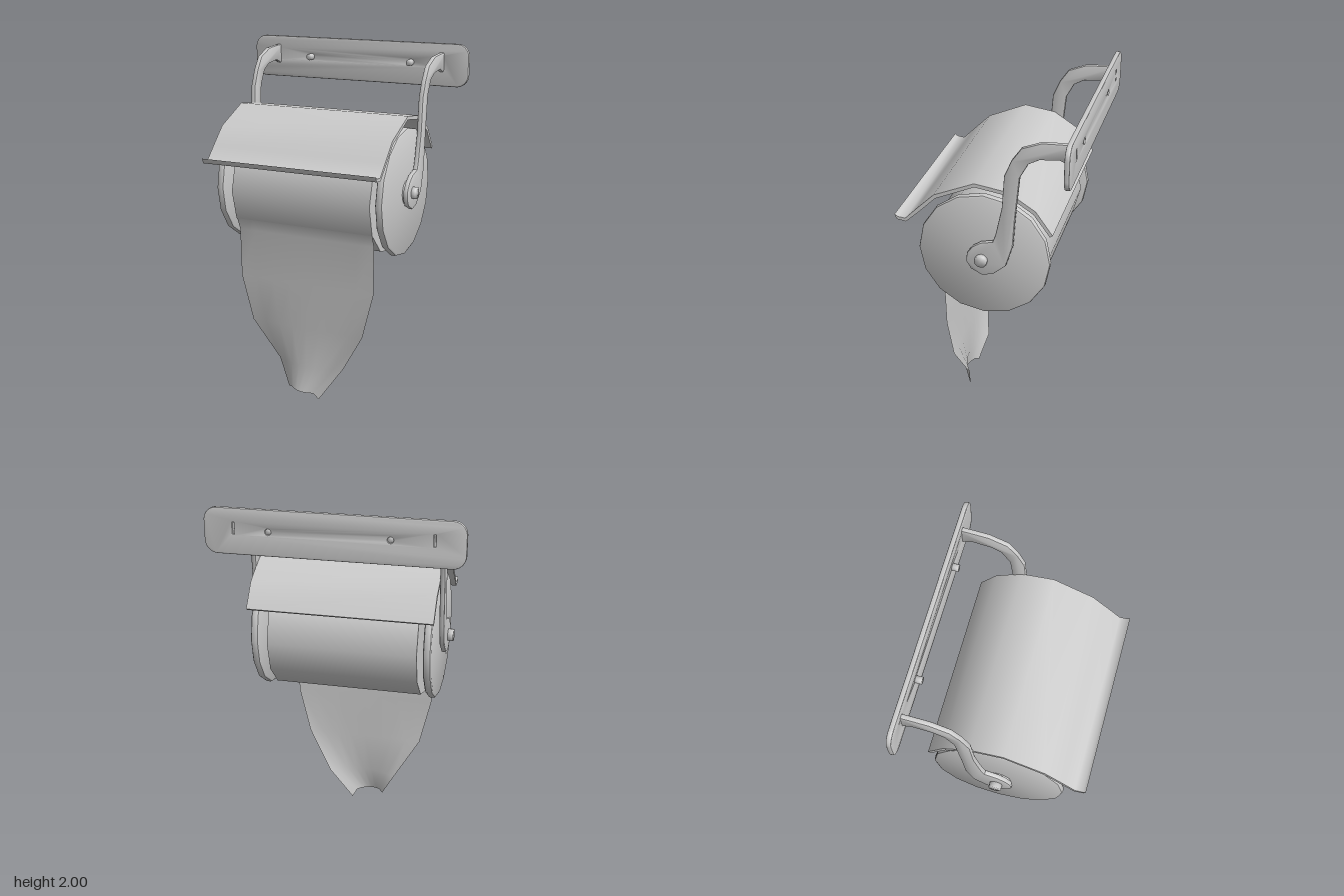
import * as THREE from 'three';
import { toCreasedNormals } from 'three/addons/utils/BufferGeometryUtils.js';

const AXIS_Y = 1.237; // height of the spindle
const ROLL_Y = 1.215; // the roll hangs a little lower on the spindle

export function createModel() {
  const model = new THREE.Group();
  const grey = new THREE.MeshStandardMaterial({ color: 0xcccccc });
  const thin = new THREE.MeshStandardMaterial({ color: 0xcccccc, side: THREE.DoubleSide });

  function add(name, geometry, material = grey) {
    const mesh = new THREE.Mesh(geometry, material);
    mesh.name = name;
    model.add(mesh);
  }

  // cylinder lying along x
  function axle(radius, x0, x1, y, sides) {
    const geo = new THREE.CylinderGeometry(radius, radius, x1 - x0, sides).rotateZ(Math.PI / 2);
    return geo.translate((x0 + x1) / 2, y, 0);
  }

  // side profile given as [z, y], extruded along x from x0 to x1
  function sideExtrude(profile, x0, x1, bevel, crease) {
    const shape = new THREE.Shape(profile.map(([z, y]) => new THREE.Vector2(-z, y)));
    const geo = new THREE.ExtrudeGeometry(shape, {
      depth: x1 - x0 - 2 * bevel, bevelEnabled: bevel > 0,
      bevelSize: bevel, bevelThickness: bevel, bevelOffset: -bevel, bevelSegments: 2,
    });
    geo.rotateY(Math.PI / 2).translate(x0 + bevel, 0, 0);
    return toCreasedNormals(geo, crease);
  }

  // wall plate with rounded corners, screw holes and slots for the arms
  const screwXs = [-0.30, 0.335];
  const w = 0.68, y0 = 1.757, y1 = 2.0, r = 0.07, b = 0.006;
  const plate = new THREE.Shape();
  plate.absarc(w - r, y0 + r, r, -Math.PI / 2, 0);
  plate.absarc(w - r, y1 - r, r, 0, Math.PI / 2);
  plate.absarc(-w + r, y1 - r, r, Math.PI / 2, Math.PI);
  plate.absarc(-w + r, y0 + r, r, Math.PI, Math.PI * 1.5);
  plate.closePath();
  for (const x of screwXs) {
    plate.holes.push(new THREE.Path().absarc(x, 1.885, 0.016, 0, Math.PI * 2, true));
  }
  for (const x of [-0.521, 0.521]) {
    plate.holes.push(new THREE.Path([[-1, 1.865], [-1, 1.925], [1, 1.925], [1, 1.865]]
      .map(([s, y]) => new THREE.Vector2(x + s * 0.005, y))));
  }
  const plateGeo = new THREE.ExtrudeGeometry(plate, {
    depth: 0.027 - 2 * b, bevelSize: b, bevelThickness: b, bevelOffset: -b,
    bevelSegments: 2, curveSegments: 6,
  });
  add('wallPlate', toCreasedNormals(plateGeo.translate(0, 0, -0.48 + b), 0.6));

  // screws
  for (const x of screwXs) {
    const screw = new THREE.CylinderGeometry(0.019, 0.019, 0.055, 10).rotateX(Math.PI / 2);
    add('screw', toCreasedNormals(screw.translate(x, 1.885, -0.446), Math.PI));
  }

  // curved arms ending in a round hub
  const armProfile = [
    [-0.47, 1.95], [-0.41, 1.948], [-0.31, 1.942], [-0.21, 1.902], [-0.16, 1.83], [-0.122, 1.74],
    [-0.109, 1.555], [-0.075, 1.395], [-0.06, 1.353], [0.005, 1.337], [0.05, 1.307],
    [0.08, 1.265], [0.085, 1.215], [0.06, 1.172], [0, 1.142], [-0.06, 1.155],
    [-0.13, 1.217], [-0.167, 1.34], [-0.178, 1.5], [-0.202, 1.74], [-0.245, 1.82],
    [-0.3, 1.85], [-0.4, 1.86], [-0.45, 1.84], [-0.47, 1.835],
  ];

  // end disc, softened at the rim
  const discProfile = [
    [0, -0.022], [0.345, -0.022], [0.354, -0.017], [0.357, -0.009],
    [0.357, 0.009], [0.354, 0.017], [0.345, 0.022], [0, 0.022],
  ].map(([x, y]) => new THREE.Vector2(x, y));

  for (const [side, s] of [['left', 1], ['right', -1]]) {
    const [a0, a1] = s > 0 ? [0.507, 0.535] : [-0.535, -0.507];
    add(side + 'Arm', sideExtrude(armProfile, a0, a1, 0.008, 0.75));
    const disc = new THREE.LatheGeometry(discProfile, 16).rotateZ(Math.PI / 2);
    add(side + 'EndDisc', toCreasedNormals(disc.translate(s * 0.476, AXIS_Y, 0), 0.6));
    const knob = s > 0 ? axle(0.034, 0.52, 0.558, AXIS_Y, 12) : axle(0.034, -0.565, -0.52, AXIS_Y, 12);
    add(side + 'EndKnob', toCreasedNormals(knob, Math.PI));
  }

  // spindle and paper roll
  add('spindle', axle(0.07, -0.508, 0.508, AXIS_Y, 16));
  add('paperRoll', axle(0.328, -0.417, 0.414, ROLL_Y, 12));

  // bent cover with a turned-up front lip
  const top = [
    [0.478, 1.424], [0.462, 1.412], [0.42, 1.408], [0.355, 1.474], [0.258, 1.569], [0.04, 1.664],
    [-0.137, 1.64], [-0.28, 1.55], [-0.37, 1.424],
  ];
  const bottom = [
    [-0.356, 1.414], [-0.268, 1.533], [-0.13, 1.62], [0.04, 1.644], [0.249, 1.55],
    [0.345, 1.455], [0.416, 1.389], [0.466, 1.396], [0.474, 1.41],
  ];
  add('cover', sideExtrude([...top, ...bottom].reverse(), -0.51, 0.51, 0, 1.0));

  // hanging sheet: rows of [y, left x, right x, edge z, middle z], torn at the end
  const rows = [
    [1.055, -0.413, 0.413, 0.285, 0.285],
    [0.98, -0.413, 0.413, 0.252, 0.254],
    [0.702, -0.411, 0.411, 0.248, 0.254],
    [0.435, -0.347, 0.342, 0.236, 0.242],
    [0.2, -0.2, 0.205, 0.187, 0.25],
    [0, -0.12, 0.07, 0.23, 0.28],
  ];
  const tear = [0.053, 0.065, 0.061, 0.058, 0.055, 0.052, 0.049, 0.045, 0.003];
  const cols = tear.length - 1;
  const sheet = new THREE.PlaneGeometry(1, 1, cols, rows.length - 1);
  for (let i = 0; i < rows.length; i++) {
    const [y, xl, xr, zEdge, zMid] = rows[i];
    for (let j = 0; j <= cols; j++) {
      const u = j / cols, bulge = 4 * u * (1 - u);
      const rowY = i === rows.length - 1 ? tear[j] : y;
      sheet.attributes.position.setXYZ(
        i * (cols + 1) + j, xl + (xr - xl) * u, rowY, zEdge + (zMid - zEdge) * bulge);
    }
  }
  sheet.computeVertexNormals();
  add('hangingSheet', sheet, thin);

  return model;
}
